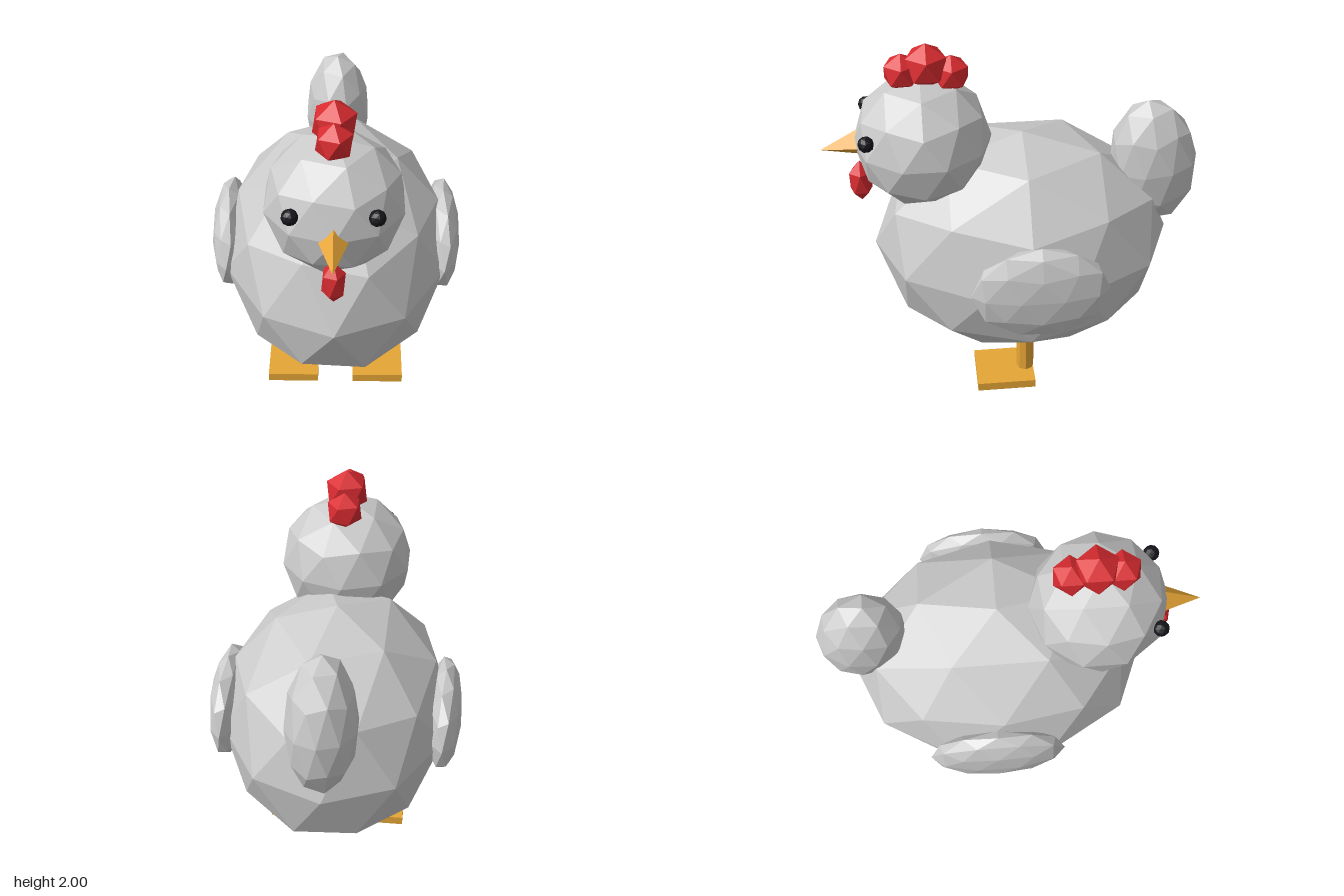
import * as THREE from 'three';

const paint = (color) => new THREE.MeshStandardMaterial({ color, flatShading: true });

// Icosphere with its poles on the y axis
function icosphere(detail) {
  const verts = [0, 1, 0, 0, -1, 0];
  const faces = [];
  const y = 1 / Math.sqrt(5), r = 2 * y;
  for (let k = 0; k < 5; k++) {
    const a = (k * 2 * Math.PI) / 5, b = a + Math.PI / 5;
    verts.push(r * Math.cos(a), y, -r * Math.sin(a));
    verts.push(r * Math.cos(b), -y, -r * Math.sin(b));
    const u = 2 + 2 * k, l = u + 1;
    const u2 = 2 + 2 * ((k + 1) % 5), l2 = u2 + 1;
    faces.push(0, u, u2, u, l, u2, l, l2, u2, 1, l2, l);
  }
  return new THREE.PolyhedronGeometry(verts, faces, 1, detail);
}

export function createModel() {
  const model = new THREE.Group();
  model.name = 'chicken';
  const grey = paint(0xcccccc);
  const red = paint(0xd92b30);
  const orange = paint(0xe6a535);
  const black = paint(0x15161a);
  const round = icosphere(1);
  const faceted = icosphere(0);

  const add = (name, geometry, material, position, scale = [1, 1, 1]) => {
    const mesh = new THREE.Mesh(geometry, material);
    mesh.name = name;
    mesh.position.set(...position);
    mesh.scale.set(...scale);
    model.add(mesh);
    return mesh;
  };

  // Body, head and tail
  add('body', round, grey, [0, 0.81, -0.05], [0.62, 0.656, 0.805]);
  add('head', round, grey, [0, 1.46, 0.47], [0.36, 0.36, 0.36]);
  add('tail', round, grey, [0, 1.24, -0.76], [0.184, 0.375, 0.238]).rotation.x = 0.12;

  // Comb, front to back
  add('combFront', faceted, red, [0, 1.85, 0.56], [0.1, 0.1, 0.1]);
  add('combMiddle', faceted, red, [0, 1.88, 0.435], [0.12, 0.12, 0.12]);
  add('combBack', faceted, red, [0, 1.83, 0.31], [0.1, 0.1, 0.1]);

  // Beak and wattle
  const beak = new THREE.ConeGeometry(0.083, 0.23, 4);
  add('beak', beak, orange, [0, 1.437, 0.888]).rotation.x = Math.PI / 2 + 0.18;
  add('wattle', faceted, red, [0, 1.217, 0.806], [0.066, 0.123, 0.068]);

  // Paired parts
  const leg = new THREE.CylinderGeometry(0.048, 0.048, 0.31, 8);
  const foot = new THREE.BoxGeometry(0.285, 0.05, 0.325);
  for (const [side, s] of [['left', 1], ['right', -1]]) {
    add(side + 'Eye', round, black, [s * 0.205, 1.56, 0.755], [0.042, 0.042, 0.042]);
    add(side + 'Wing', round, grey, [s * 0.585, 0.85, -0.09], [0.1, 0.28, 0.362]);
    add(side + 'Leg', leg, orange, [s * 0.243, 0.205, -0.048]);
    add(side + 'Foot', foot, orange, [s * 0.243, 0.025, 0.07]);
  }
  return model;
}
